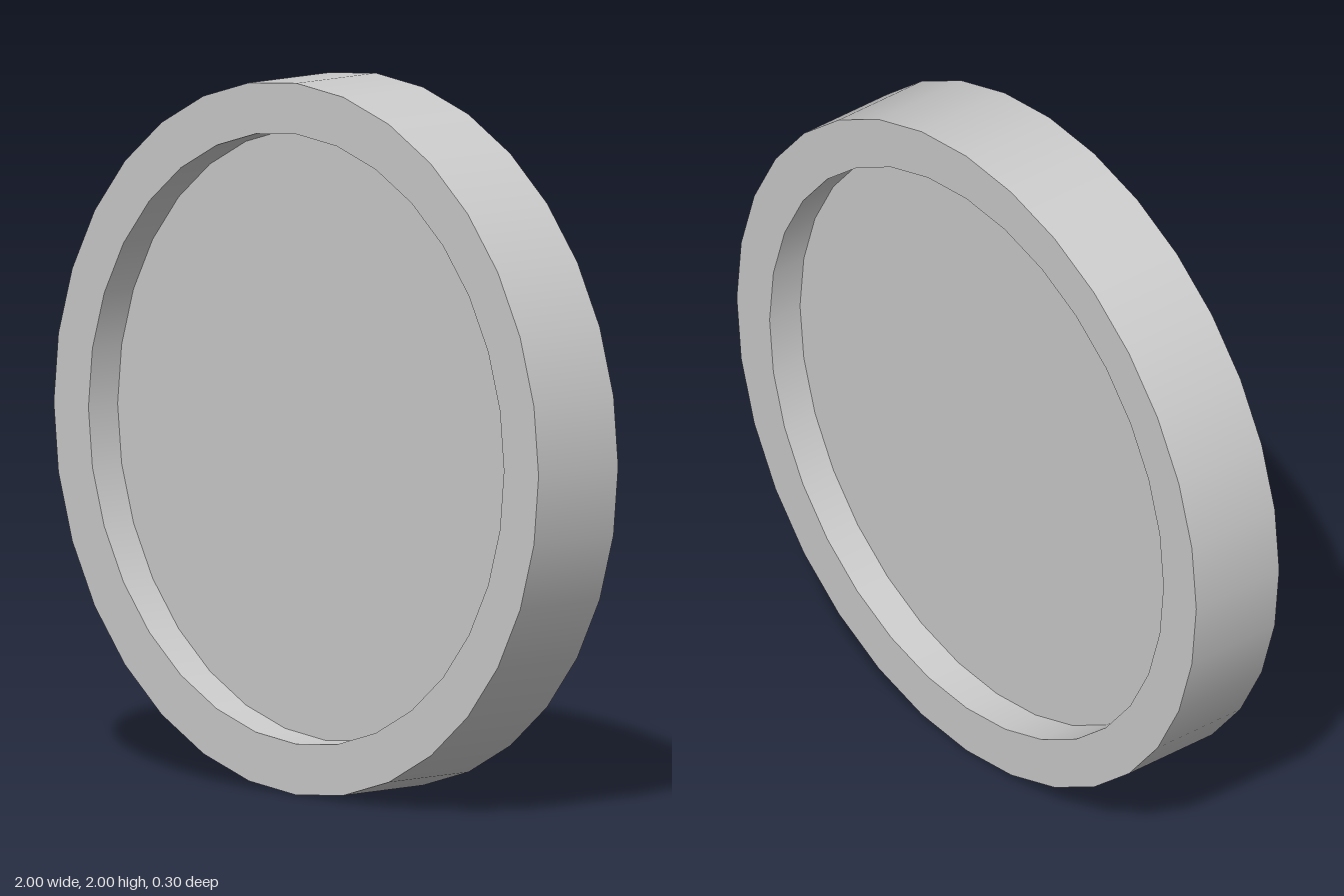
import * as THREE from 'three';
import { mergeGeometries } from 'three/addons/utils/BufferGeometryUtils.js';

const SIDES = 32;
const OUTER = 1, INNER = 0.857;   // rim radii
const HALF = 0.15, PANEL = 0.04;  // half depths of rim and recessed panel

// Revolve each profile segment separately: smooth around, sharp at the edges.
// Profiles run counter-clockwise in (radius, depth); the axis is turned to z.
function revolve(profile) {
  const bands = [];
  for (let i = 0; i < profile.length - 1; i++) {
    const points = [profile[i], profile[i + 1]].map(([r, d]) => new THREE.Vector2(r, d));
    bands.push(new THREE.LatheGeometry(points, SIDES));
  }
  return mergeGeometries(bands).rotateX(Math.PI / 2);
}

export function createModel() {
  const model = new THREE.Group();
  model.name = 'recessedDisc';
  const material = new THREE.MeshStandardMaterial({ color: 0xcccccc });

  const add = (name, geometry) => {
    const mesh = new THREE.Mesh(geometry, material);
    mesh.name = name;
    mesh.position.y = OUTER;
    model.add(mesh);
  };

  // Raised rim: lip, outer wall and lip, with the recess walls down to the panel
  add('rim', revolve([
    [INNER, -PANEL], [INNER, -HALF], [OUTER, -HALF],
    [OUTER, HALF], [INNER, HALF], [INNER, PANEL],
  ]));

  // Flat panel, recessed on both the front and the back
  for (const [name, turn] of [['frontPanel', 0], ['backPanel', Math.PI]]) {
    add(name, new THREE.CircleGeometry(INNER, SIDES).translate(0, 0, PANEL).rotateY(turn));
  }

  return model;
}
